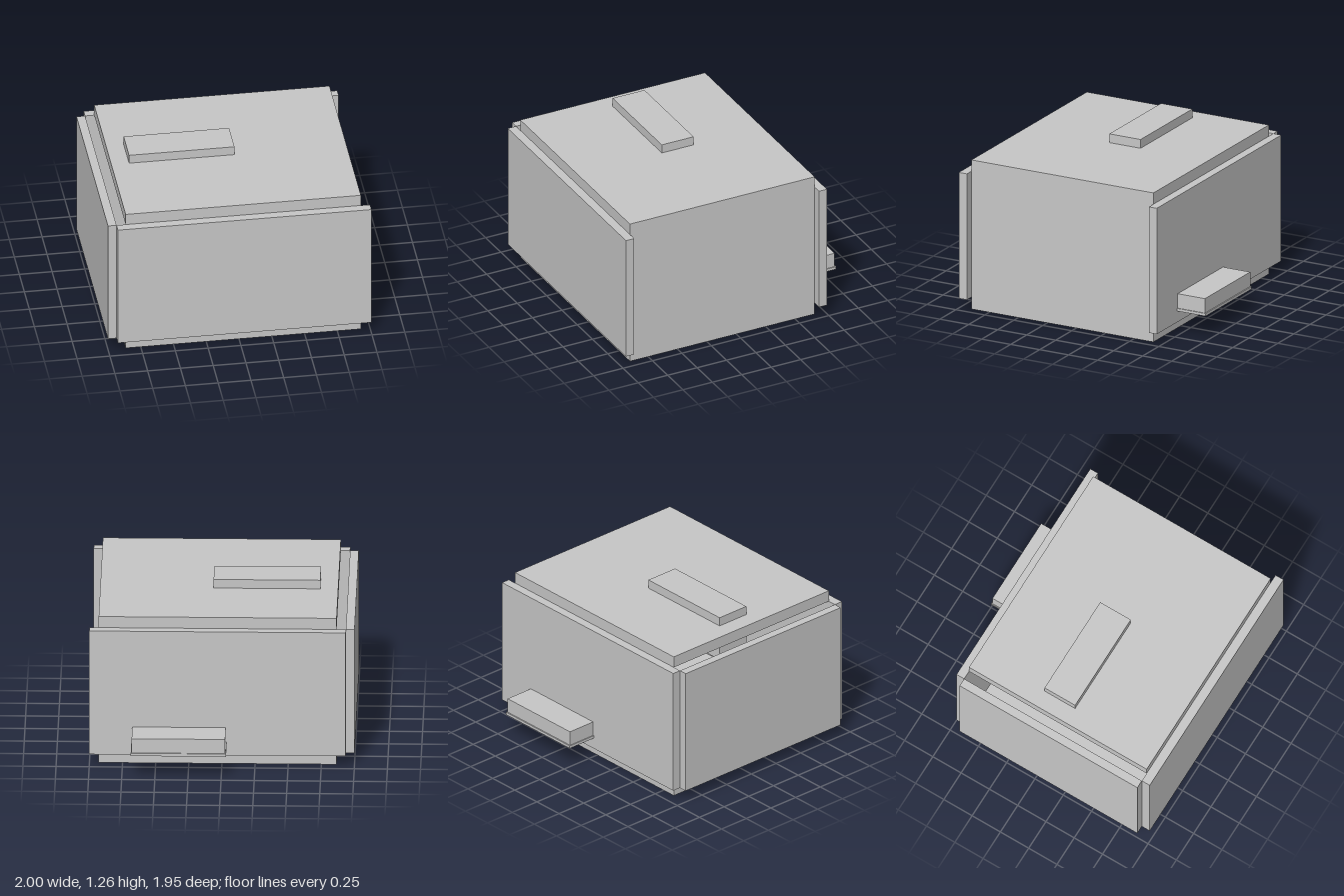
import * as THREE from 'three';

export function createModel() {
  const group = new THREE.Group();
  const grey = new THREE.MeshStandardMaterial({ color: 0xc8c8c8 });
  grey.name = 'light grey';

  // Box given by its lower and upper limits on each axis
  function block(name, [x0, x1], [y0, y1], [z0, z1]) {
    const mesh = new THREE.Mesh(new THREE.BoxGeometry(x1 - x0, y1 - y0, z1 - z0), grey);
    mesh.position.set((x0 + x1) / 2, (y0 + y1) / 2, (z0 + z1) / 2);
    mesh.name = name;
    group.add(mesh);
  }

  // Roof, left wall and floor in one C-shaped shell, open on the right
  const profile = new THREE.Shape([
    [-0.865, 0], [0.93, 0], [0.93, 1.19], [-0.865, 1.19],
    [-0.865, 1.1], [0.865, 1.1], [0.865, 0.095], [-0.865, 0.095],
  ].map(([x, y]) => new THREE.Vector2(x, y)));
  const shell = new THREE.Mesh(
    new THREE.ExtrudeGeometry(profile, { depth: 1.57, bevelEnabled: false }), grey);
  shell.position.z = -0.665;
  shell.name = 'shell';
  group.add(shell);

  // Separate wall panels
  const height = [0.095, 1.1];
  block('frontPanel', [-0.935, 1], height, [0.905, 0.975]);
  block('backPanel', [-0.935, 1], height, [-0.733, -0.665]);
  block('rightPanel', [-1, -0.935], height, [-0.665, 0.905]);

  // Block set through the roof
  block('roofBlock', [-0.73, 0.075], [0.9, 1.26], [-0.08, 0.19]);

  // Ledge on the back with a thin, slightly wider base
  block('backLedge', [-0.03, 0.675], [0.205, 0.32], [-0.968, -0.72]);
  block('backLedgeBase', [-0.037, 0.682], [0.183, 0.205], [-0.977, -0.72]);

  return group;
}
